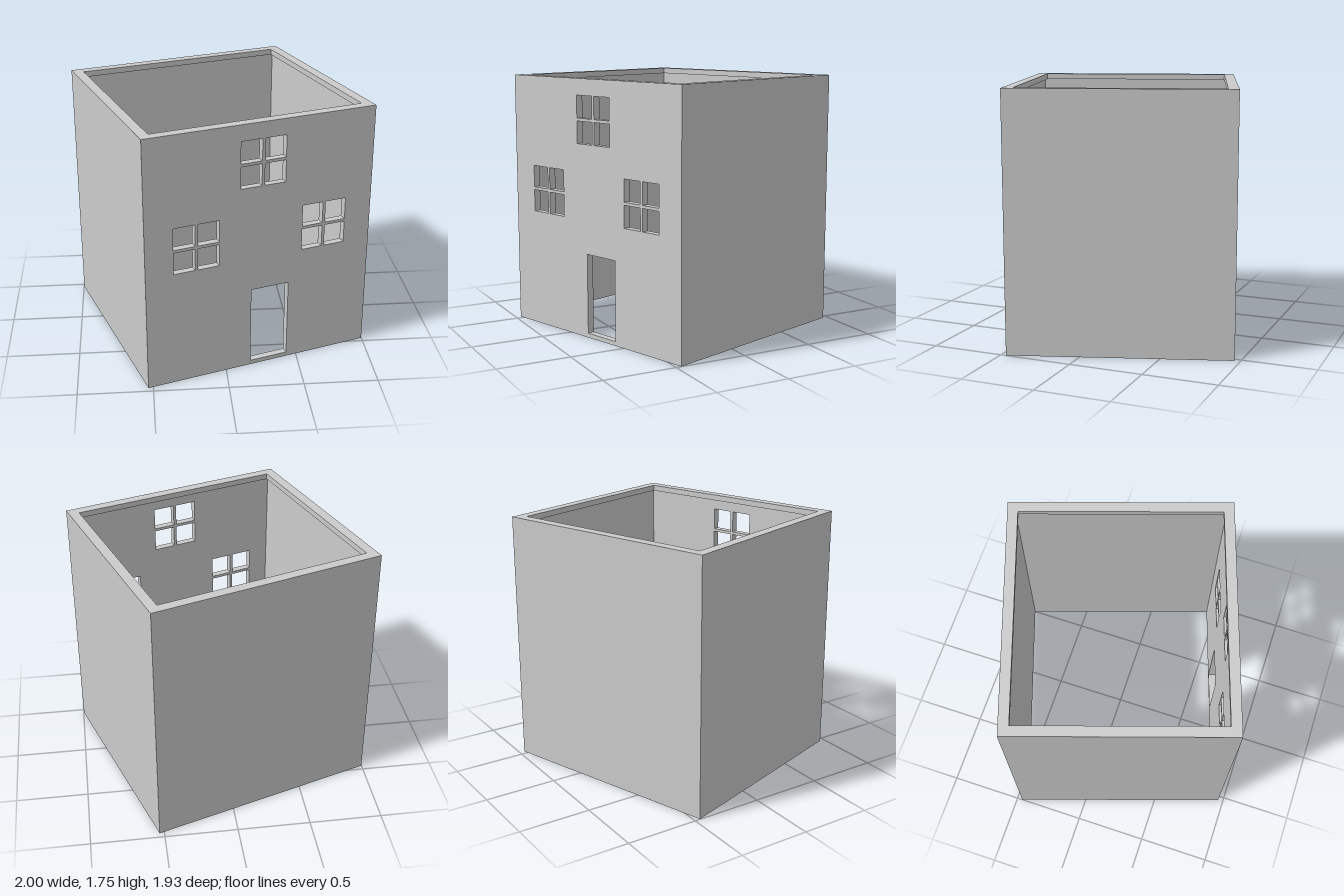
import * as THREE from 'three';

const W = 1.61, D = 1.5, H = 1.755; // outer width, depth, height
const WALL = 0.05, RIM = 0.07, RIM_H = 0.04;
const WALL_H = H - RIM_H;

const material = new THREE.MeshStandardMaterial({ color: 0xcccccc, flatShading: true });

const rect = (x0, y0, x1, y1) => [[x0, y0], [x1, y0], [x1, y1], [x0, y1]].map(p => new THREE.Vector2(...p));

function extrude(name, shape, depth) {
  const mesh = new THREE.Mesh(new THREE.ExtrudeGeometry(shape, { depth, bevelEnabled: false }), material);
  mesh.name = name;
  return mesh;
}

// Four panes around a cross of glazing bars, as holes
function windowHoles(cx, cy) {
  const bar = 0.01, half = 0.158, holes = [];
  for (const sx of [-1, 1]) for (const sy of [-1, 1]) {
    const xs = [sx * bar, sx * half].sort((a, b) => a - b);
    const ys = [sy * bar, sy * (half + 0.003)].sort((a, b) => a - b);
    holes.push(new THREE.Path(rect(cx + xs[0], cy + ys[0], cx + xs[1], cy + ys[1])));
  }
  return holes;
}

export function createModel() {
  const house = new THREE.Group();
  house.name = 'house';
  const w = W / 2, d = D / 2;

  // Front wall with a doorway and three windows
  const front = new THREE.Shape(rect(-w, 0, w, WALL_H));
  front.holes.push(new THREE.Path(rect(-0.066, 0.03, 0.206, 0.58)));
  for (const [x, y] of [[-0.455, 0.97], [0.455, 0.97], [0.007, 1.483]]) front.holes.push(...windowHoles(x, y));
  const frontWall = extrude('frontWall', front, WALL);
  frontWall.position.z = d - WALL;
  house.add(frontWall);

  // Side and back walls: a U-shaped footprint (plan y becomes -z)
  const i = w - WALL, f = -d + WALL, b = d - WALL;
  const plan = new THREE.Shape(
    [[-w, f], [-i, f], [-i, b], [i, b], [i, f], [w, f], [w, d], [-w, d]].map(p => new THREE.Vector2(...p)));
  const walls = extrude('sideAndBackWalls', plan, WALL_H);
  walls.rotation.x = -Math.PI / 2;
  house.add(walls);

  // Top rim, overhanging the walls slightly on the inside
  const ring = new THREE.Shape(rect(-w, -d, w, d));
  ring.holes.push(new THREE.Path(rect(-w + RIM, -d + RIM, w - RIM, d - RIM)));
  const rim = extrude('topRim', ring, RIM_H);
  rim.rotation.x = -Math.PI / 2;
  rim.position.y = WALL_H;
  house.add(rim);

  // The house stands turned on its plot
  house.rotation.y = 0.316;
  const model = new THREE.Group();
  model.name = 'houseModel';
  model.add(house);
  return model;
}
